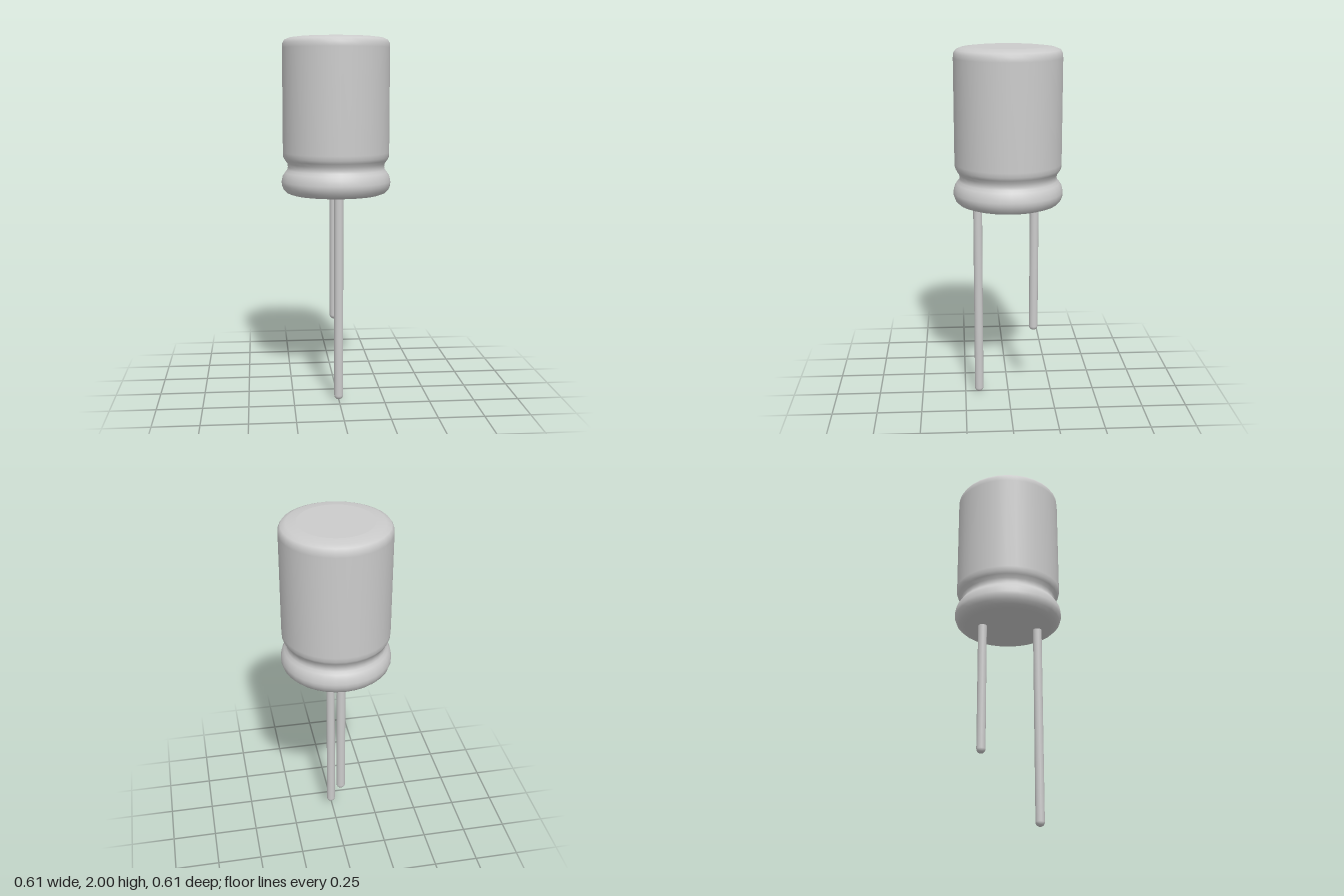
import * as THREE from 'three';

const SIDES = 32;

export function createModel() {
  const group = new THREE.Group();
  const grey = new THREE.MeshStandardMaterial({ color: 0xcccccc });

  const add = (name, geometry) => {
    const mesh = new THREE.Mesh(geometry, grey);
    mesh.name = name;
    group.add(mesh);
    return mesh;
  };
  const lathe = (points, sides) =>
    new THREE.LatheGeometry(points.map(([r, y]) => new THREE.Vector2(r, y)), sides);

  // Can: rolled bottom bead, crimped neck, straight wall and rounded shoulder
  add('canShell', lathe([
    [0.205, 1.135], [0.25, 1.138], [0.275, 1.147], [0.293, 1.165], [0.302, 1.19],
    [0.303, 1.21], [0.297, 1.24], [0.284, 1.26], [0.272, 1.275], [0.268, 1.29],
    [0.271, 1.31], [0.284, 1.328], [0.293, 1.345], [0.295, 1.37],
    [0.295, 1.94], [0.293, 1.965], [0.282, 1.983], [0.255, 1.994], [0.202, 2.0],
  ], SIDES));

  // Flat end discs
  const top = add('topDisc', new THREE.CircleGeometry(0.202, SIDES));
  top.rotation.x = -Math.PI / 2;
  top.position.y = 2.0;
  const bottom = add('bottomDisc', new THREE.CircleGeometry(0.205, SIDES));
  bottom.rotation.x = Math.PI / 2;
  bottom.position.y = 1.135;

  // Wire leads with rounded tips, one longer than the other
  const r = 0.025;
  for (const [name, z, tip] of [['longLead', 0.17, 0], ['shortLead', -0.146, 0.38]]) {
    const profile = [];
    for (let i = 0; i <= 6; i++) {
      const a = (i / 6) * Math.PI / 2;
      profile.push([r * Math.sin(a), tip + r * (1 - Math.cos(a))]);
    }
    profile.push([r, 1.15]);
    add(name, lathe(profile, 16)).position.z = z;
  }
  return group;
}
